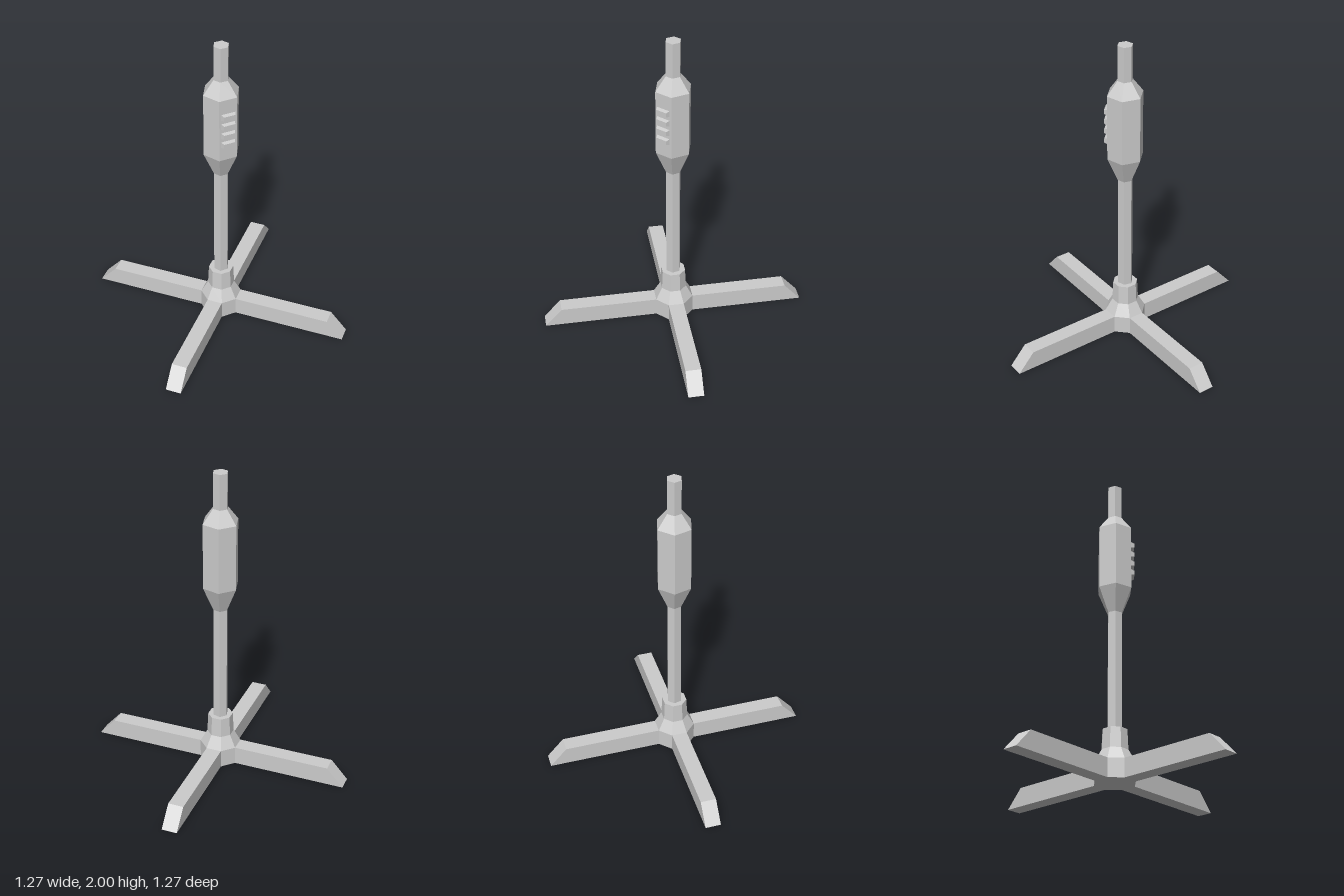
import * as THREE from 'three';

export function createModel() {
  const group = new THREE.Group();
  const material = new THREE.MeshStandardMaterial({ color: 0xcccccc, flatShading: true });

  function add(name, geometry) {
    const mesh = new THREE.Mesh(geometry, material);
    mesh.name = name;
    group.add(mesh);
    return mesh;
  }

  // Faceted column with a flat side facing +z; profile is [apothem, y] from bottom to top
  function prism(name, sides, profile) {
    const k = 1 / Math.cos(Math.PI / sides);
    const points = profile.map(([r, y]) => new THREE.Vector2(r * k, y));
    return add(name, new THREE.LatheGeometry(points, sides, Math.PI / sides));
  }

  // Octagonal hub with collar
  prism('hub', 8, [[0, 0], [0.12, 0], [0.12, 0.12], [0.079, 0.2], [0.073, 0.33], [0, 0.33]]);

  // Hexagonal pole that swells into the control housing
  prism('pole', 6, [
    [0, 0.3], [0.042, 0.3], [0.042, 1.1], [0.1, 1.26],
    [0.1, 1.685], [0.042, 1.775], [0.042, 2], [0, 2],
  ]);

  // Four diagonal feet with sloped ends
  const side = new THREE.Shape([
    new THREE.Vector2(0.115, 0), new THREE.Vector2(0.849, 0),
    new THREE.Vector2(0.742, 0.12), new THREE.Vector2(0.115, 0.12),
  ]);
  const footGeometry = new THREE.ExtrudeGeometry(side, { depth: 0.099, bevelEnabled: false });
  footGeometry.translate(0, 0, -0.0495);
  for (let i = 0; i < 4; i++) {
    add('foot', footGeometry).rotation.y = Math.PI / 4 + i * Math.PI / 2;
  }

  // Four tapered buttons on the front of the housing
  const buttonGeometry = new THREE.BoxGeometry(0.094, 0.042, 0.026);
  const pos = buttonGeometry.attributes.position;
  for (let i = 0; i < pos.count; i++) {
    if (pos.getZ(i) > 0) pos.setXY(i, pos.getX(i) * 0.76, pos.getY(i) * 0.64);
  }
  buttonGeometry.computeVertexNormals();
  for (let i = 0; i < 4; i++) {
    add('button', buttonGeometry).position.set(0, 1.375 + i * 0.065, 0.109);
  }

  return group;
}
